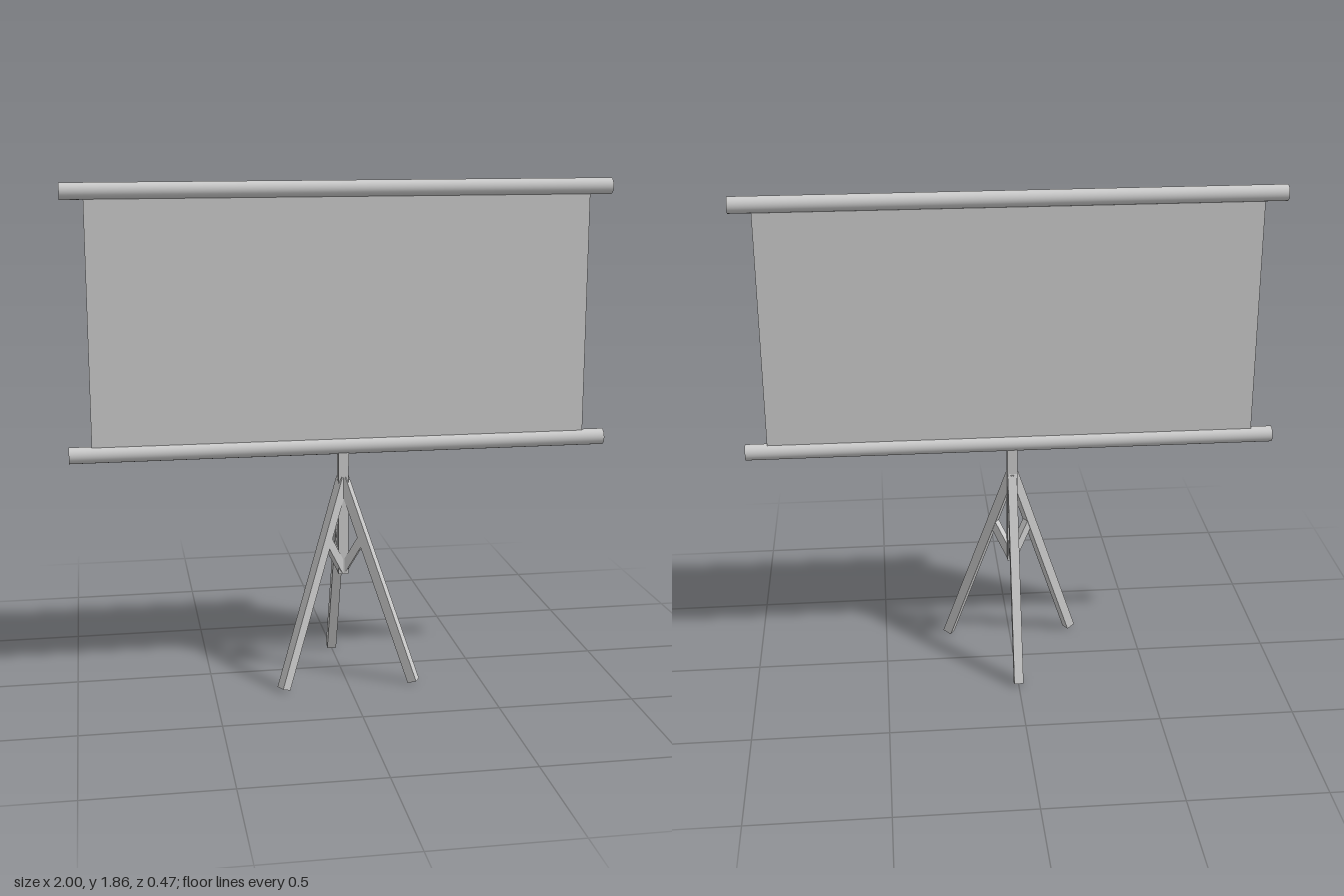
import * as THREE from 'three';

const AXIS_Z = 0.067; // depth of the post, bars and sheet

export function createModel() {
  const model = new THREE.Group();
  model.name = 'projectionScreen';
  const material = new THREE.MeshStandardMaterial({ color: 0xcccccc });

  const add = (parent, name, geometry, x = 0, y = 0, z = 0) => {
    const mesh = new THREE.Mesh(geometry, material);
    mesh.name = name;
    mesh.position.set(x, y, z);
    parent.add(mesh);
    return mesh;
  };

  // Square strut between two points [radius, height] in the local y-z plane
  const strut = (parent, name, width, [r0, y0], [r1, y1]) => {
    const length = Math.hypot(r1 - r0, y1 - y0);
    const mesh = add(parent, name, new THREE.BoxGeometry(width, length, width),
      0, (y0 + y1) / 2, (r0 + r1) / 2);
    mesh.rotation.x = Math.atan2(r1 - r0, y1 - y0);
  };

  // Round bars holding the sheet at top and bottom
  for (const [name, y] of [['topBar', 1.834], ['bottomBar', 0.891]]) {
    const bar = new THREE.CylinderGeometry(0.03, 0.03, 2, 32).rotateZ(Math.PI / 2);
    add(model, name, bar, 0, y, AXIS_Z);
  }

  // Screen sheet
  add(model, 'screenSheet', new THREE.BoxGeometry(1.836, 0.943, 0.02), 0, 1.8625 - 0.5, AXIS_Z);

  // Central post
  add(model, 'post', new THREE.BoxGeometry(0.038, 0.48, 0.038), 0, 0.64, AXIS_Z);

  // Tripod: one leg to the back, two to the front, each with a brace
  const tripod = new THREE.Group();
  tripod.name = 'tripod';
  tripod.position.z = AXIS_Z;
  model.add(tripod);
  for (const [name, angle] of [['back', Math.PI], ['left', Math.PI / 3], ['right', -Math.PI / 3]]) {
    const side = new THREE.Group();
    side.name = name + 'LegAssembly';
    side.rotation.y = angle;
    strut(side, name + 'Leg', 0.035, [0.2835, 0.006], [0, 0.77]);
    strut(side, name + 'Brace', 0.03, [0, 0.41], [0.08, 0.547]);
    tripod.add(side);
  }

  return model;
}
